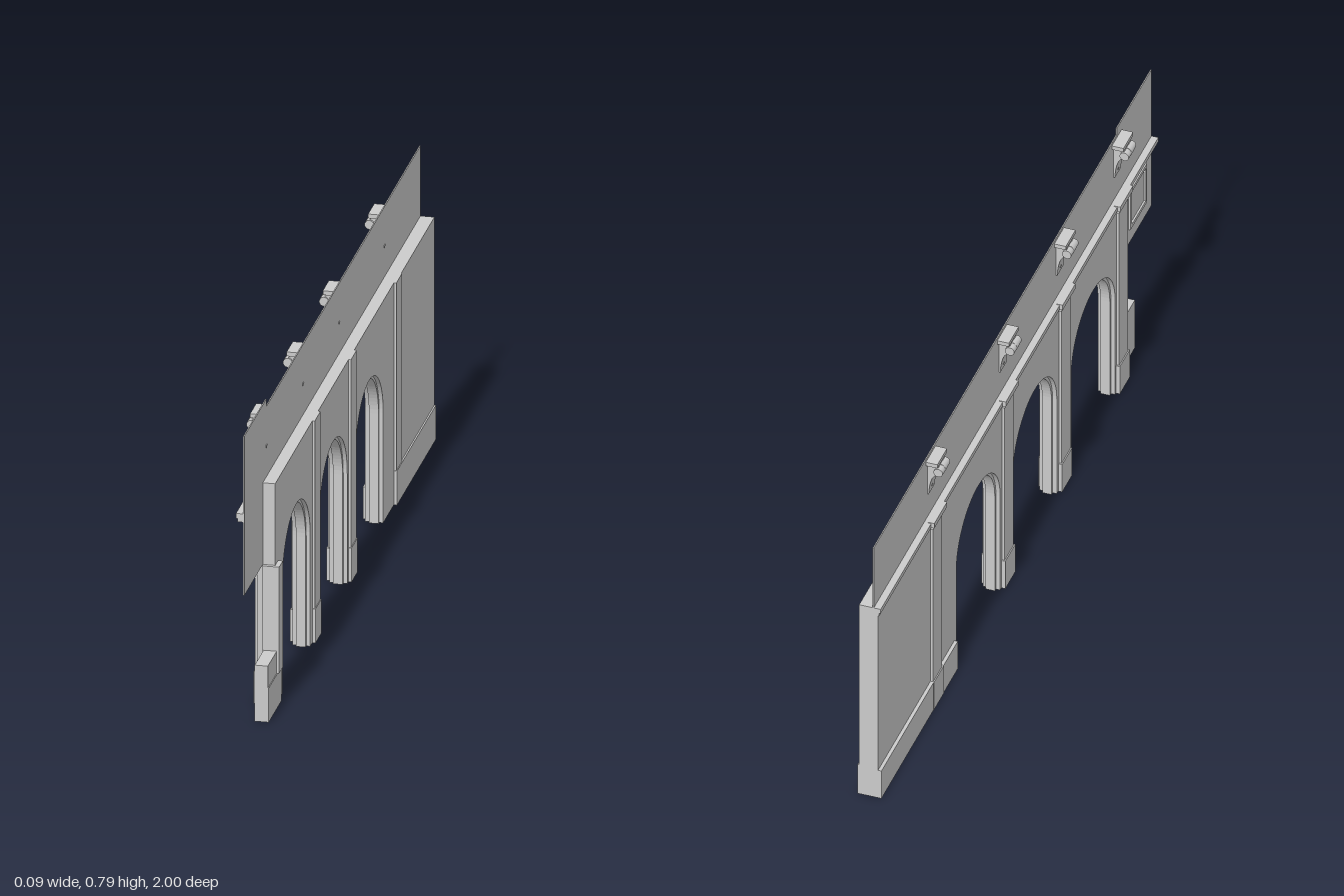
import * as THREE from 'three';

const material = new THREE.MeshStandardMaterial({ color: 0xcccccc, side: THREE.DoubleSide });

export function createModel() {
  const model = new THREE.Group();
  model.name = 'arcadeWall';

  const add = (name, geometry, parent = model) => {
    const mesh = new THREE.Mesh(geometry, material);
    mesh.name = name;
    parent.add(mesh);
    return mesh;
  };
  // Box given by its limits on each axis
  const box = (name, x0, x1, y0, y1, z0, z1, parent) =>
    add(name, new THREE.BoxGeometry(x1 - x0, y1 - y0, z1 - z0)
      .translate((x0 + x1) / 2, (y0 + y1) / 2, (z0 + z1) / 2), parent);

  // Arcade wall: outline with arched openings cut up from the ground
  const arches = [0.55, 0.13, -0.278];
  const springing = 0.29;
  function wallLayer(name, x0, x1, halfWidth, rise) {
    const s = new THREE.Shape();
    s.moveTo(-0.79, 0);
    for (const z of arches) {
      s.lineTo(-z - halfWidth, 0);
      s.lineTo(-z - halfWidth, springing);
      s.absellipse(-z, springing, halfWidth, rise, Math.PI, 0, true, 0);
      s.lineTo(-z + halfWidth, 0);
    }
    s.lineTo(1, 0);
    s.lineTo(1, 0.585);
    s.lineTo(-0.79, 0.585);
    s.closePath();
    const g = new THREE.ExtrudeGeometry(s, { depth: x1 - x0, bevelEnabled: false, curveSegments: 20 });
    add(name, g.rotateY(Math.PI / 2).translate(x0, 0, 0));
  }
  // The core has slightly smaller openings, leaving a stepped rim round each arch
  wallLayer('outerWallFace', -0.015, -0.004, 0.158, 0.148);
  wallLayer('wallCore', -0.004, 0.02, 0.15, 0.14);
  wallLayer('innerWallFace', 0.02, 0.03, 0.158, 0.148);

  // Thin upper wall, raised at the front end, and the hanging end panel
  const upper = new THREE.Shape([
    [-1, 0.37], [-0.79, 0.37], [-0.79, 0.58], [1, 0.58], [1, 0.77], [-0.75, 0.77], [-0.75, 0.79], [-1, 0.79],
  ].map(([u, y]) => new THREE.Vector2(u, y)));
  add('upperWall', new THREE.ExtrudeGeometry(upper, { depth: 0.003, bevelEnabled: false })
    .rotateY(Math.PI / 2).translate(-0.004, 0, 0));

  // Raised frame on the end panel
  const frame = new THREE.Group();
  frame.name = 'panelFrame';
  model.add(frame);
  for (const y of [0.42, 0.53]) box('frameRail', -0.009, -0.004, y - 0.005, y + 0.005, 0.835, 0.955, frame);
  for (const z of [0.84, 0.95]) box('frameStile', -0.009, -0.004, 0.42, 0.53, z - 0.005, z + 0.005, frame);

  // Stepped cornice along the outer face
  box('corniceLower', -0.018, -0.002, 0.563, 0.572, -1, 1);
  box('corniceUpper', -0.022, -0.002, 0.572, 0.585, -1, 1);

  // Bracket profile: shelf above a concave sweep down to the wall
  const sweep = new THREE.Shape();
  sweep.moveTo(0, 0.655);
  sweep.lineTo(0, 0.752);
  sweep.lineTo(-0.028, 0.752);
  sweep.lineTo(-0.03, 0.722);
  sweep.quadraticCurveTo(-0.006, 0.715, -0.004, 0.655);
  sweep.closePath();

  // Pilasters, their bases and caps, with a scroll bracket above each one
  [0.75, 0.335, -0.075, -0.59].forEach((z, i) => {
    const bay = new THREE.Group();
    bay.name = 'pilasterBay';
    model.add(bay);
    box('pilaster', -0.022, -0.014, 0, 0.57, z - 0.032, z + 0.032, bay);
    box('pilasterBase', -0.025, -0.014, 0, 0.085, z - 0.036, z + 0.036, bay);
    box('pilasterCapLower', -0.026, -0.014, 0.563, 0.572, z - 0.042, z + 0.042, bay);
    box('pilasterCapUpper', -0.03, -0.014, 0.572, 0.587, z - 0.046, z + 0.046, bay);
    if (i > 0) {
      box('innerPilaster', 0.029, 0.036, 0, 0.585, z - 0.032, z + 0.032, bay);
      box('innerPilasterBase', 0.029, 0.038, 0, 0.09, z - 0.034, z + 0.034, bay);
    }
    add('bracketBody', new THREE.ExtrudeGeometry(sweep, { depth: 0.044, bevelEnabled: false, curveSegments: 8 })
      .translate(-0.003, 0, z - 0.022), bay);
    box('bracketShelf', -0.034, -0.003, 0.751, 0.762, z - 0.035, z + 0.035, bay);
    add('bracketScroll', new THREE.CylinderGeometry(0.012, 0.012, 0.054, 14)
      .rotateX(Math.PI / 2).translate(-0.033, 0.73, z), bay);
    add('scrollBand', new THREE.CylinderGeometry(0.0135, 0.0135, 0.014, 14)
      .rotateX(Math.PI / 2).translate(-0.032, 0.73, z), bay);
    add('bracketDrop', new THREE.ConeGeometry(0.006, 0.02, 8)
      .rotateX(Math.PI).translate(-0.004, 0.66, z), bay);
  });

  // Solid end bay: inner facing and plinths on both faces
  box('endBayFacing', 0.029, 0.034, 0, 0.585, -1, -0.59);
  box('endBayInnerPlinth', 0.033, 0.038, 0, 0.09, -1, -0.59);
  box('endBayOuterPlinth', -0.024, -0.014, 0, 0.085, -1, -0.45);

  // Front end: buttress and low stub wall
  box('buttress', 0.0, 0.042, 0.09, 0.37, 0.757, 0.8);
  box('buttressFoot', -0.015, 0.038, 0, 0.09, 0.757, 0.8);
  box('stubWall', 0.003, 0.036, 0, 0.148, 0.79, 0.9);
  box('stubWallPlinth', 0.003, 0.038, 0, 0.09, 0.79, 0.9);

  return model;
}
